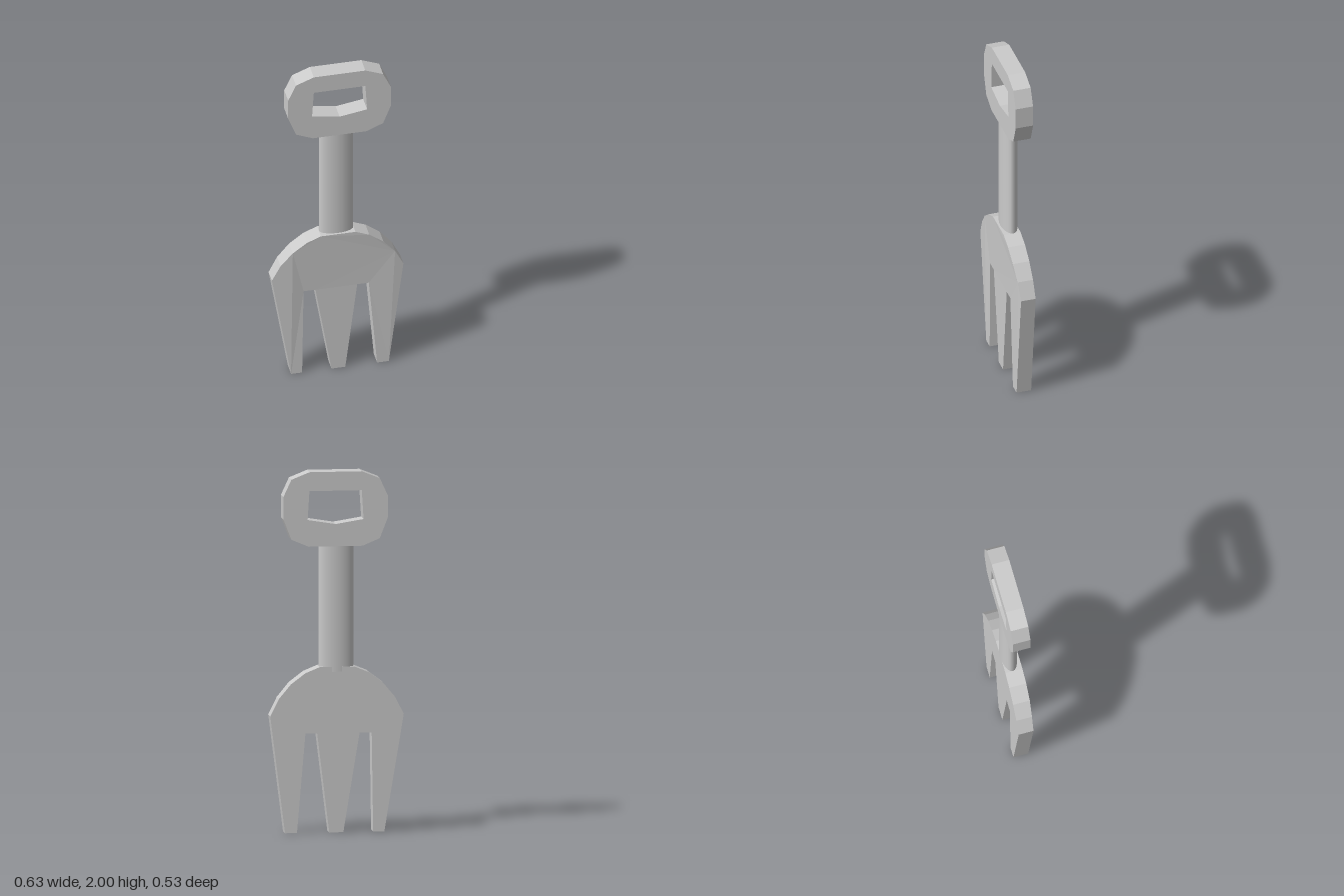
import * as THREE from 'three';

const material = new THREE.MeshStandardMaterial({ color: 0xcccccc });

const toPoints = (list) => list.map(([x, y]) => new THREE.Vector2(x, y));

// Flat plate with a polygon outline, centred on z = 0
function plate(name, outline, depth, hole) {
  const shape = new THREE.Shape(toPoints(outline));
  if (hole) shape.holes.push(new THREE.Path(toPoints(hole)));
  const geometry = new THREE.ExtrudeGeometry(shape, { depth, bevelEnabled: false });
  geometry.translate(0, 0, -depth / 2);
  const mesh = new THREE.Mesh(geometry, material);
  mesh.name = name;
  return mesh;
}

export function createModel() {
  const group = new THREE.Group();
  group.name = 'handFork';

  // Blade with rounded shoulders and three tapering tines
  const shoulder = [[0.37, 0.65], [0.322, 0.745], [0.255, 0.825], [0.175, 0.885], [0.097, 0.917]];
  const mirrored = shoulder.map(([x, y]) => [-x, y]).reverse();
  const blade = plate('forkBlade', [
    [-0.262, 0], [-0.2, 0], [-0.192, 0.55], [-0.125, 0.55],
    [-0.035, 0], [0.043, 0], [0.11, 0.55], [0.175, 0.55],
    [0.222, 0], [0.288, 0], ...shoulder, ...mirrored,
  ], 0.084);
  // Swell the front face gently towards the shoulders
  const position = blade.geometry.attributes.position;
  for (let i = 0; i < position.count; i++) {
    const z = position.getZ(i);
    if (z > 0) position.setZ(i, z + 0.013 * THREE.MathUtils.smoothstep(position.getY(i), 0.65, 0.88));
  }
  blade.geometry.computeVertexNormals();
  group.add(blade);

  // Flattened oval shaft
  const shaft = new THREE.Mesh(new THREE.CylinderGeometry(1, 1, 0.72, 20), material);
  shaft.geometry.scale(0.097, 1, 0.044);
  shaft.geometry.translate(0, 1.25, 0);
  shaft.name = 'shaft';
  group.add(shaft);

  // D-shaped grip with a hand hole
  const side = [[0.15, 1.587], [0.245, 1.627], [0.289, 1.74], [0.289, 1.865], [0.245, 1.96], [0.145, 2]];
  const otherSide = side.map(([x, y]) => [-x, y]).reverse();
  const hole = [[-0.155, 1.735], [0, 1.71], [0.155, 1.735], [0.145, 1.895], [-0.145, 1.895]];
  const grip = plate('grip', [...side, ...otherSide], 0.1, hole);
  grip.position.x = 0.009;
  group.add(grip);

  // Whole tool is turned about its upright axis
  group.rotation.y = THREE.MathUtils.degToRad(-38.4);
  const model = new THREE.Group();
  model.add(group);
  return model;
}
